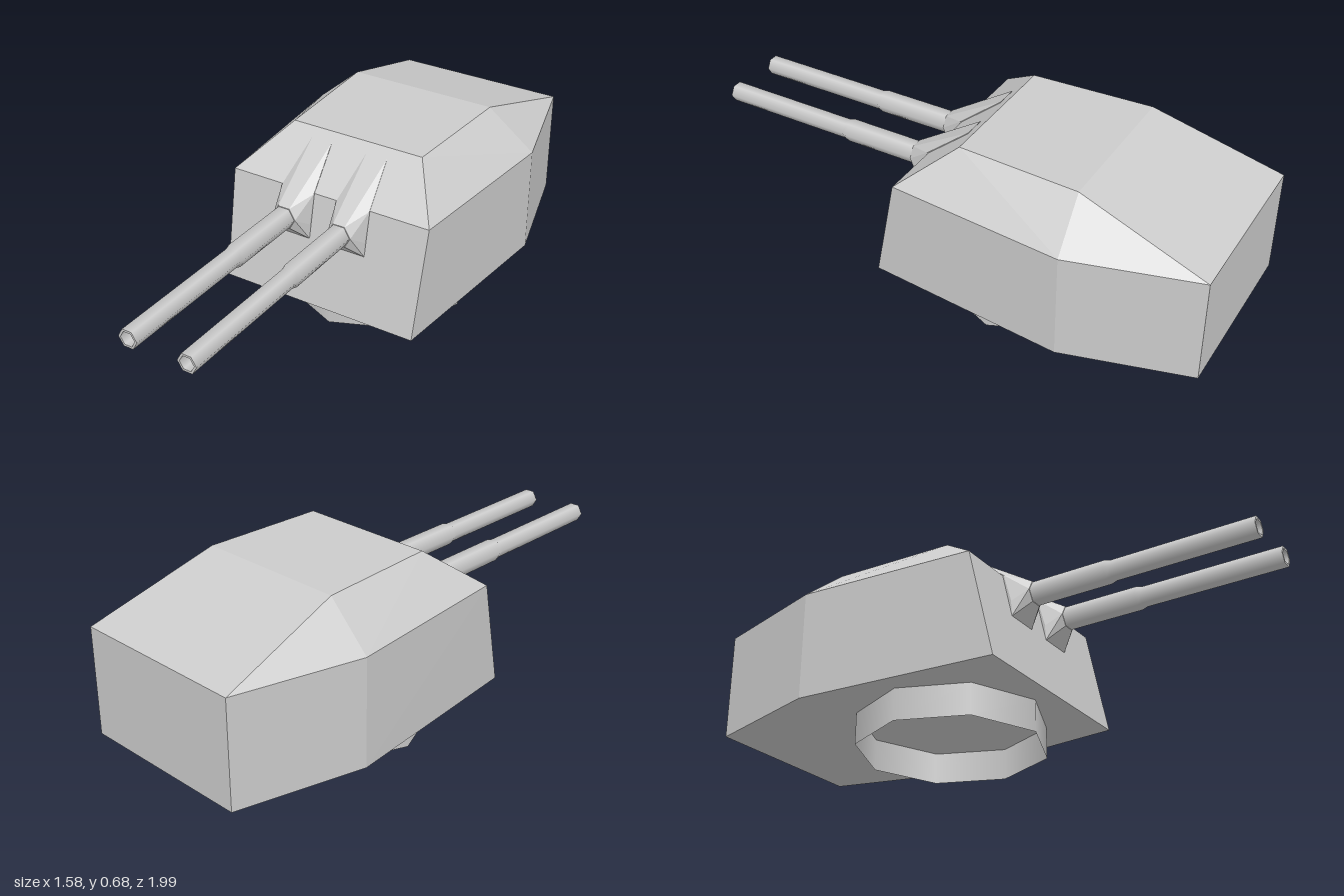
import * as THREE from 'three';
import { ConvexGeometry } from 'three/addons/geometries/ConvexGeometry.js';

const material = new THREE.MeshStandardMaterial({ color: 0xcccccc });
const doubleSided = new THREE.MeshStandardMaterial({ color: 0xcccccc, side: THREE.DoubleSide });

function addMesh(parent, name, geometry, mat = material) {
  const mesh = new THREE.Mesh(geometry, mat);
  mesh.name = name;
  parent.add(mesh);
  return mesh;
}

// Mirrors [halfWidth, y, z] points across x = 0
const mirrored = (points) => points.flatMap(([x, y, z]) =>
  [new THREE.Vector3(x, y, z), new THREE.Vector3(-x, y, z)]);

// Faceted armoured housing with sloped front, roof and rear
function housingGeometry() {
  return new ConvexGeometry(mirrored([
    [0.395, 0.12, 0.28], [0.465, 0.12, -0.485], [0.336, 0.12, -0.957],  // floor
    [0.405, 0.53, 0.19], [0.465, 0.53, -0.485], [0.336, 0.53, -0.957],  // shoulder
    [0.266, 0.68, 0.0], [0.29, 0.68, -0.466],                           // roof
  ]));
}

// Tapered gun shield bulging from the front plate to a six-sided collar
function shieldGeometry() {
  const points = mirrored([
    [0.042, 0.655, 0.036], [0.068, 0.53, 0.195], [0.068, 0.42, 0.225], [0.066, 0.36, 0.225],
  ]);
  for (let i = 0; i < 6; i++) {
    const a = i * Math.PI / 3;
    points.push(new THREE.Vector3(0.046 * Math.cos(a), 0.46 + 0.046 * Math.sin(a), 0.285));
  }
  return new ConvexGeometry(points);
}

// Stepped six-sided barrel with a shallow bore, turned to point along +z
function barrelGeometry() {
  const profile = [
    [0.043, 0.2], [0.043, 0.575], [0.037, 0.595], [0.037, 1.12],
    [0.037, 1.12], [0.028, 1.12], [0.028, 1.12], [0.028, 1.08], [0.028, 1.08], [0, 1.08],
  ].map(([r, z]) => new THREE.Vector2(r, z));
  return new THREE.LatheGeometry(profile, 6, Math.PI / 2).rotateX(Math.PI / 2);
}

export function createModel() {
  const model = new THREE.Group();
  model.name = 'gunTurret';

  // The whole turret is trained to its right
  const turret = new THREE.Group();
  turret.name = 'turret';
  turret.rotation.y = -0.594;
  turret.position.set(-0.027, 0, -0.018);
  model.add(turret);

  addMesh(turret, 'housing', housingGeometry());

  // Open eight-sided mounting ring
  const ring = addMesh(turret, 'mountingRing',
    new THREE.CylinderGeometry(0.352, 0.352, 0.12, 8, 1, true), doubleSided);
  ring.position.set(0, 0.06, -0.152);

  // Twin guns
  for (const [side, x] of [['left', 0.104], ['right', -0.125]]) {
    const gun = new THREE.Group();
    gun.name = side + 'Gun';
    gun.position.x = x;
    turret.add(gun);
    addMesh(gun, side + 'GunShield', shieldGeometry());
    addMesh(gun, side + 'Barrel', barrelGeometry(), doubleSided).position.y = 0.46;
  }
  return model;
}
